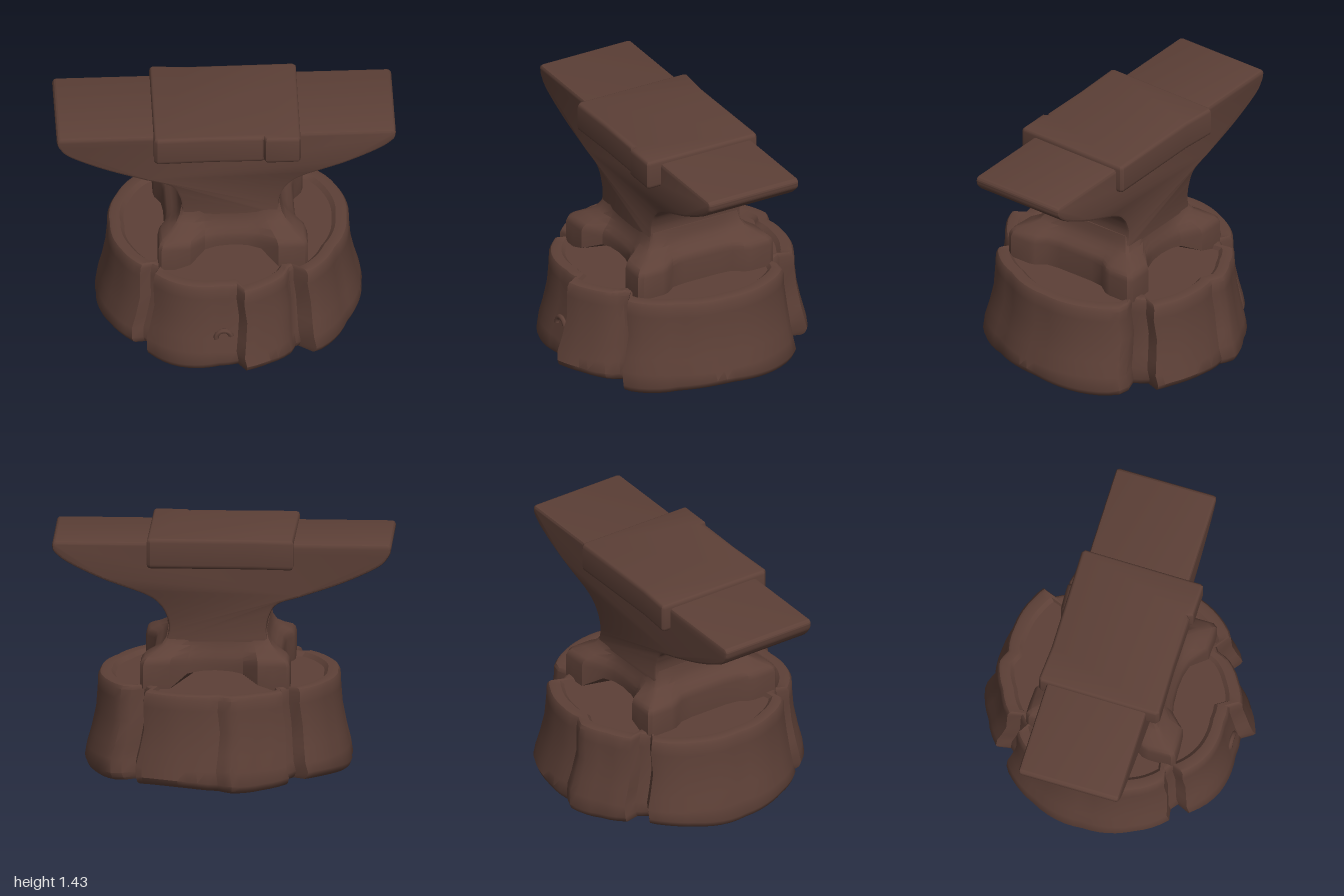
import * as THREE from 'three';
import { toCreasedNormals } from 'three/addons/utils/BufferGeometryUtils.js';

const brown = new THREE.MeshStandardMaterial({ color: 0x5d4037 });
brown.name = 'dark brown';

// Skin a stack of closed rows (arrays of [x, y, z]), bottom to top
function loft(rows, crease) {
  const n = rows[0].length, index = [];
  for (let j = 0; j < rows.length - 1; j++) {
    for (let i = 0; i < n; i++) {
      const a = j * n + i, b = j * n + (i + 1) % n, c = a + n, d = b + n;
      index.push(a, c, b, c, d, b);
    }
  }
  const g = new THREE.BufferGeometry();
  g.setAttribute('position', new THREE.Float32BufferAttribute(rows.flat(2), 3));
  g.setIndex(index);
  return toCreasedNormals(g, crease);
}

function addPart(group, name, geometry) {
  const mesh = new THREE.Mesh(geometry, brown);
  mesh.name = name;
  group.add(mesh);
  return mesh;
}

const lerp = THREE.MathUtils.lerp;

// Bark outline: [degrees from +x towards +z, radius], with clefts between plates
const BARK = [
  [0, .81], [25, .79], [46, .80], [49, .79], [51, .68], [54, .68], [60, .73], [72, .775],
  [83, .81], [86, .73], [95, .735], [113, .77], [125, .76], [130, .75], [132, .67],
  [137, .68], [140, .74], [157, .755], [180, .755], [205, .765], [223, .76], [226, .75],
  [228, .67], [234, .68], [237, .76], [250, .775], [264, .81], [270, .77], [283, .80],
  [300, .825], [306, .83], [308, .74], [315, .70], [318, .78], [322, .82], [335, .83],
];

function stumpGeometry() {
  // Subdivide the outline, rounding the longer spans slightly
  const ring = [];
  BARK.forEach(([a, r], i) => {
    const [b, q] = i + 1 < BARK.length ? BARK[i + 1] : [360, BARK[0][1]];
    const steps = Math.max(1, Math.round((b - a) / 4));
    for (let k = 0; k < steps; k++) {
      const t = k / steps;
      ring.push([THREE.MathUtils.degToRad(lerp(a, b, t)),
        lerp(r, q, t) + (b - a) * 0.0012 * t * (1 - t)]);
    }
  });
  // [height, radius scale]: flared base, rounded rim, sunken top
  const levels = [[.015, 0], [.015, .96], [.03, .985], [.06, 1], [.13, .985], [.22, .955], [.35, .922],
    [.48, .908], [.545, .905], [.565, .89], [.572, .87], [.568, .81], [.545, .78], [.545, 0]];
  return loft(levels.map(([y, s], j) => ring.map(([a, r]) => {
    const wave = j > 0 && j < 4 ? 0.015 * Math.sin(a * 5 + 1) : 0;
    const sway = a + (y > .06 && y < .5 ? 0.015 * Math.sin(y * 14) : 0);
    return [Math.cos(sway) * r * s, y + wave, Math.sin(sway) * r * s];
  })), 0.6);
}

function footGeometry() {
  // Plan outline paired with the waist it rises into: [footX, footZ, waistX, waistZ]
  const front = [
    [.41, 0, .32, 0], [.41, .12, .32, .1], [.42, .2, .32, .18], [.465, .26, .32, .24],
    [.475, .30, .32, .27], [.475, .43, .32, .29], [.455, .46, .305, .3], [.38, .46, .27, .3],
    [.30, .455, .22, .3], [.20, .37, .17, .3], [.12, .35, .11, .3], [.035, .345, .02, .3],
    [-.06, .35, -.07, .3], [-.13, .365, -.13, .3], [-.22, .455, -.19, .3], [-.31, .46, -.23, .3],
    [-.39, .46, -.255, .3], [-.408, .44, -.27, .29], [-.408, .30, -.27, .27],
    [-.40, .26, -.27, .24], [-.365, .2, -.27, .18], [-.355, .12, -.27, .1], [-.355, 0, -.27, 0],
  ];
  const back = front.slice(1, -1).reverse().map(([x, z, u, w]) => [x, -z, u, -w]);
  const plan = [...front, ...back];
  // Arched underside between the feet
  const arch = (x) => {
    const d = (x - .035) / .26;
    return Math.abs(d) < 1 ? Math.max(.55, .565 + .075 * Math.sqrt(1 - d * d)) : .55;
  };
  const levels = [[.69, 0], [.718, .06], [.735, .17], [.76, .5], [.79, .8], [.83, .96], [.88, 1.03]];
  const rows = [
    plan.map(() => [.035, .64, 0]),
    plan.map(([x, z]) => [x, arch(x), z]),
    ...levels.map(([y, t]) => plan.map(([x, z, u, w]) => {
      const dip = Math.abs(x - .035) < .2 ? .02 * (1 - t) : 0;
      return [lerp(x, u, t), y - Math.max(0, dip), lerp(z, w, t) - .01 * Math.min(t, 1)];
    })),
    plan.map(() => [.02, .88, 0]),
  ];
  return loft(rows, 0.55);
}

function bodyGeometry() {
  // Side profile: two tapering horns meeting in a narrow waist
  const v = (list) => list.map(([x, y]) => new THREE.Vector2(x, y));
  const s = new THREE.Shape();
  s.moveTo(-.97, 1.405);
  s.lineTo(.97, 1.405);
  s.quadraticCurveTo(1, 1.405, 1, 1.375);
  s.splineThru(v([[.985, 1.335], [.9, 1.27], [.7, 1.175], [.45, 1.085], [.36, 1.02],
    [.318, .94], [.312, .87], [.33, .81]]));
  s.lineTo(-.275, .81);
  s.splineThru(v([[-.265, .88], [-.28, .96], [-.33, 1.035], [-.48, 1.085], [-.72, 1.17],
    [-.92, 1.265], [-.985, 1.33], [-1, 1.375]]));
  s.quadraticCurveTo(-1, 1.405, -.97, 1.405);
  const g = new THREE.ExtrudeGeometry(s, {
    depth: .575, curveSegments: 20, bevelEnabled: true,
    bevelThickness: .02, bevelSize: .016, bevelOffset: -.016, bevelSegments: 2,
  });
  g.translate(0, 0, -.3025);
  return toCreasedNormals(g, 0.6);
}

function plateGeometry() {
  // Plan of the working face, with a crack in its front edge
  const s = new THREE.Shape();
  [[-.425, -.36], [-.41, -.375], [-.2, -.36], [.42, -.365], [.44, -.35], [.435, .365], [.425, .383],
    [.23, .383], [.217, .355], [.205, .365], [-.1, .362], [-.41, .37], [-.43, .35]]
    .forEach(([x, z], i) => (i ? s.lineTo(x, -z) : s.moveTo(x, -z)));
  const g = new THREE.ExtrudeGeometry(s, {
    depth: .13, bevelEnabled: true, bevelThickness: .025, bevelSize: .018,
    bevelOffset: -.018, bevelSegments: 3,
  });
  g.rotateX(-Math.PI / 2);
  g.translate(0, 1.28, 0);
  return toCreasedNormals(g, 0.6);
}

export function createModel() {
  const model = new THREE.Group();
  model.name = 'anvilOnStump';

  addPart(model, 'stump', stumpGeometry());
  addPart(model, 'anvilFoot', footGeometry());
  addPart(model, 'anvilBody', bodyGeometry());
  addPart(model, 'facePlate', plateGeometry());

  // Small arched knot in the front bark
  const knot = addPart(model, 'barkKnot', new THREE.TorusGeometry(.045, .016, 6, 12, Math.PI));
  knot.position.set(-.035, .225, .7);
  knot.rotation.z = .2;
  return model;
}
